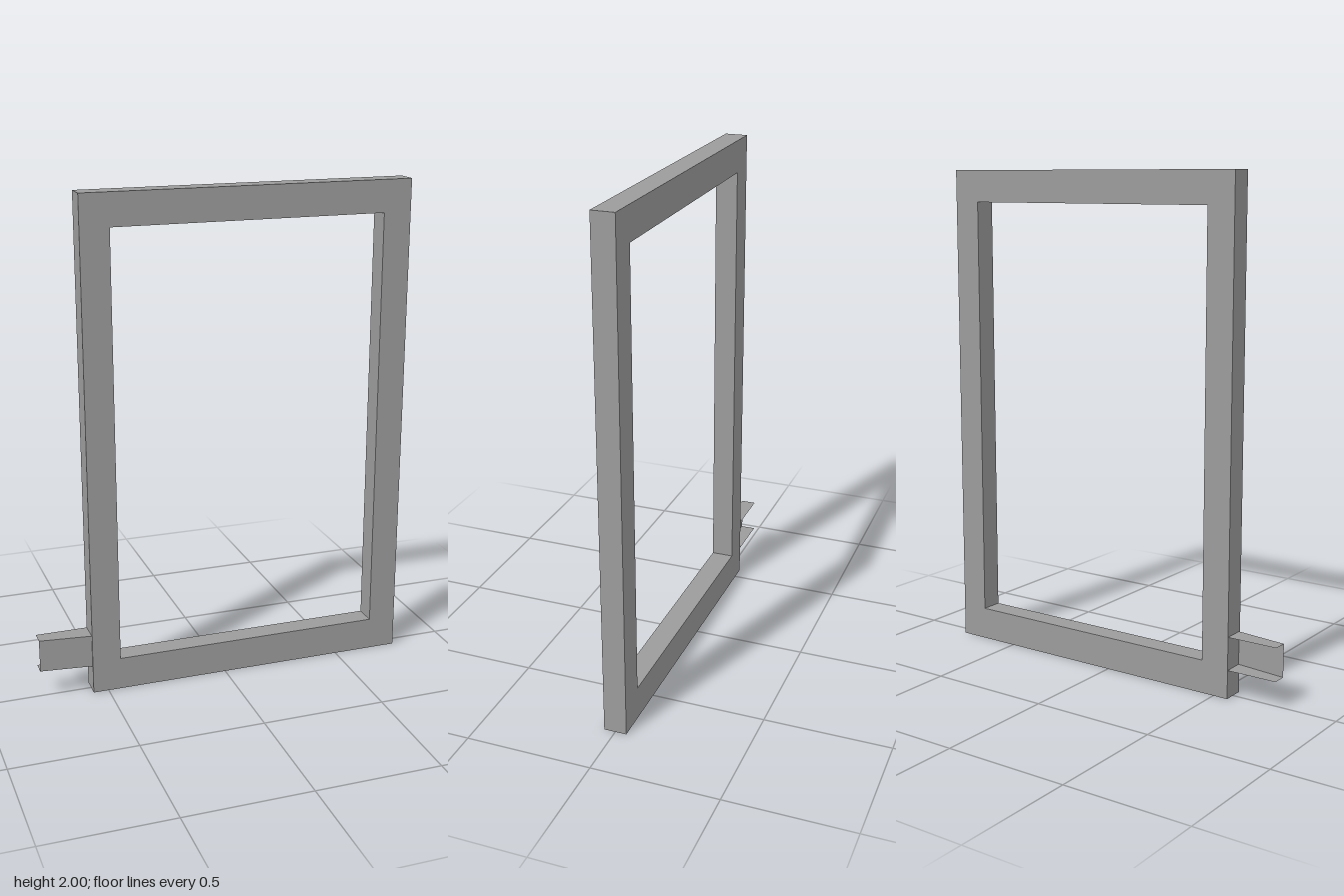
import * as THREE from 'three';

const grey = new THREE.MeshStandardMaterial({ color: 0x9c9c9c, flatShading: true });
const sheetGrey = new THREE.MeshStandardMaterial({ color: 0x9c9c9c, flatShading: true, side: THREE.DoubleSide });

// Rectangle outline from two opposite corners
function rectangle(Type, x0, y0, x1, y1) {
  return new Type([[x0, y0], [x1, y0], [x1, y1], [x0, y1]].map(([x, y]) => new THREE.Vector2(x, y)));
}

export function createModel() {
  const model = new THREE.Group();
  model.name = 'openFrame';

  // Upright rectangular frame with one large opening
  const depth = 0.09;
  const outline = rectangle(THREE.Shape, -0.562, 0, 0.77, 2);
  outline.holes.push(rectangle(THREE.Path, -0.447, 0.133, 0.656, 1.871));
  const frameGeometry = new THREE.ExtrudeGeometry(outline, { depth, bevelEnabled: false });
  frameGeometry.translate(0, 0, -depth / 2);
  const frame = new THREE.Mesh(frameGeometry, grey);
  frame.name = 'frame';
  model.add(frame);

  // Side bracket: a thin tapering channel, open at the back and outer end.
  // Each section runs back-top, front-top, front-bottom, back-bottom.
  const top = 0.248, bottom = 0.115, back = -0.045;
  const sections = [[-0.77, 0.014], [-0.562, 0.039]].map(([x, front]) => [
    [x, top, back], [x, top, front], [x, bottom, front], [x, bottom, back],
  ]);
  const positions = [];
  for (let i = 0; i < 3; i++) {
    const [a, b] = [sections[0][i], sections[0][i + 1]];
    const [d, c] = [sections[1][i], sections[1][i + 1]];
    positions.push(...a, ...b, ...c, ...a, ...c, ...d);
  }
  const bracketGeometry = new THREE.BufferGeometry();
  bracketGeometry.setAttribute('position', new THREE.Float32BufferAttribute(positions, 3));
  bracketGeometry.computeVertexNormals();
  const bracket = new THREE.Mesh(bracketGeometry, sheetGrey);
  bracket.name = 'sideBracket';
  model.add(bracket);

  return model;
}
